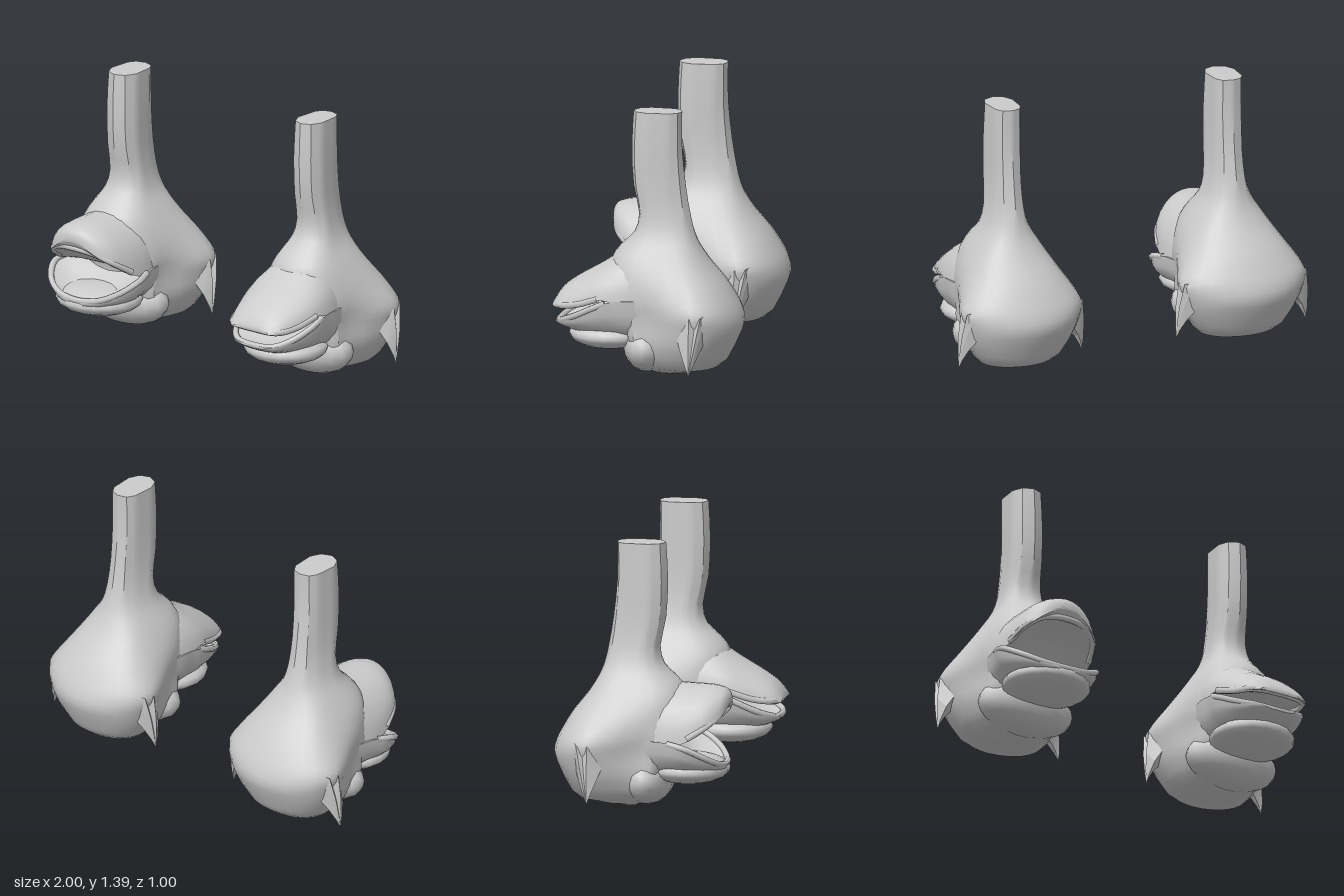
import * as THREE from 'three';
import { toCreasedNormals } from 'three/addons/utils/BufferGeometryUtils.js';

const grey = new THREE.MeshStandardMaterial({ color: 0xcccccc, side: THREE.DoubleSide });

function part(name, geometry, parent) {
  const mesh = new THREE.Mesh(geometry, grey);
  mesh.name = name;
  parent.add(mesh);
  return mesh;
}

// Skin a list of closed rings (same point count) and cap both ends.
function loft(rings, crease = 0.6) {
  const n = rings[0].length, pos = [], idx = [];
  rings.forEach(r => r.forEach(p => pos.push(p.x, p.y, p.z)));
  for (let i = 0; i < rings.length - 1; i++) {
    for (let j = 0; j < n; j++) {
      const a = i * n + j, b = i * n + (j + 1) % n;
      idx.push(a, b, b + n, a, b + n, a + n);
    }
  }
  [0, rings.length - 1].forEach((k, end) => {
    const c = rings[k].reduce((s, p) => s.add(p), new THREE.Vector3()).divideScalar(n);
    const m = pos.length / 3;
    pos.push(c.x, c.y, c.z);
    for (let j = 0; j < n; j++) {
      const a = k * n + j, b = k * n + (j + 1) % n;
      idx.push(m, end ? a : b, end ? b : a);
    }
  });
  const g = new THREE.BufferGeometry();
  g.setAttribute('position', new THREE.Float32BufferAttribute(pos, 3));
  g.setIndex(idx);
  return toCreasedNormals(g, crease);
}

// Insert smoothly interpolated rows between the given ones.
function refine(rows, steps) {
  const out = [];
  const at = i => rows[Math.max(0, Math.min(rows.length - 1, i))];
  for (let i = 0; i < rows.length - 1; i++) {
    for (let s = 0; s < steps; s++) {
      const t = s / steps;
      out.push(at(i).map((b, k) => {
        const a = at(i - 1)[k], c = at(i + 1)[k], d = at(i + 2)[k];
        return b + 0.5 * t * (c - a + t * (2 * a - 5 * b + 4 * c - d + t * (3 * (b - c) + d - a)));
      }));
    }
  }
  out.push(rows[rows.length - 1]);
  return out;
}

// Skull and neck: y, back z, shoulder z, shoulder half-width, waist half-width, front z
const bodyRows = [
  [0.005, -0.16, -0.13, 0.06, 0.06, -0.05],
  [0.05, -0.37, -0.23, 0.21, 0.18, 0.03],
  [0.12, -0.43, -0.26, 0.27, 0.23, 0.08],
  [0.2, -0.47, -0.27, 0.315, 0.25, 0.12],
  [0.28, -0.5, -0.28, 0.34, 0.25, 0.13],
  [0.35, -0.485, -0.28, 0.357, 0.255, 0.14],
  [0.41, -0.455, -0.27, 0.333, 0.26, 0.16],
  [0.5, -0.4, -0.24, 0.27, 0.245, 0.2],
  [0.6, -0.32, -0.19, 0.205, 0.205, 0.21],
  [0.68, -0.27, -0.16, 0.155, 0.16, 0.155],
  [0.75, -0.24, -0.14, 0.115, 0.125, 0.085],
  [0.85, -0.215, -0.12, 0.09, 0.102, 0.06],
  [1.0, -0.19, -0.11, 0.078, 0.092, 0.09],
  [1.2, -0.17, -0.11, 0.078, 0.09, 0.1],
  [1.4, -0.17, -0.115, 0.075, 0.083, 0.09],
];

// The skull is rounded with full cheeks; the neck is nearly polygonal.
function bodyRing([y, zb, zs, wb, ww, zf]) {
  const neck = THREE.MathUtils.smoothstep(y, 0.6, 0.95);
  const zm = zs + (zf - zs) * 0.6;
  const cheek = ww * THREE.MathUtils.lerp(0.86, 0.68, THREE.MathUtils.smoothstep(y, 0.36, 0.56));
  const half = [[cheek, zf - (zf - zm) * 0.3], [ww, zm], [wb, zs], [wb * 0.68, zb + (zs - zb) * 0.28]];
  const pts = [[0, zf], ...half, [0, zb], ...half.slice().reverse().map(([x, z]) => [-x, z])];
  const curve = new THREE.CatmullRomCurve3(
    pts.map(([x, z]) => new THREE.Vector3(x, y, z)), true, 'catmullrom', 0.5 - 0.45 * neck);
  return curve.getPoints(30).slice(0, 30);
}

// Jaw slice: z, half-width, top y, bottom y, hollow depth.
// The upper jaw is a dome with an arched palate, the lower jaw a dished bowl.
function jawRing([z, w, top, bottom, hollow], upper) {
  const pts = [];
  for (let j = 0; j < 28; j++) {
    const a = (j / 28) * Math.PI * 2, x = Math.cos(a), s = Math.sin(a);
    const dish = hollow * (1 - x * x);
    let y;
    if (upper) y = s >= 0 ? bottom + (top - bottom) * s : bottom + dish;
    else y = s <= 0 ? top - (top - bottom) * (-s) ** 0.8 : top - dish;
    pts.push(new THREE.Vector3(x * w, y, z));
  }
  return pts;
}

const openMouth = {
  upper: [[-0.05, 0.22, 0.68, 0.36, 0], [0.08, 0.25, 0.67, 0.35, 0], [0.16, 0.257, 0.66, 0.355, 0.02],
    [0.25, 0.25, 0.655, 0.385, 0.07], [0.34, 0.22, 0.65, 0.44, 0.05], [0.4, 0.16, 0.637, 0.49, 0.02],
    [0.425, 0.1, 0.62, 0.53, 0.01], [0.437, 0.04, 0.6, 0.56, 0]],
  lower: [[-0.05, 0.235, 0.38, 0.15, 0], [0.08, 0.262, 0.38, 0.16, 0.02], [0.14, 0.278, 0.375, 0.17, 0.05],
    [0.22, 0.295, 0.355, 0.175, 0.1], [0.32, 0.245, 0.305, 0.185, 0.08], [0.39, 0.16, 0.265, 0.195, 0.04],
    [0.42, 0.07, 0.24, 0.21, 0]],
  upperLip: [[0.245, 0.395, 0.24], [0.205, 0.46, 0.34], [0.13, 0.505, 0.39], [0, 0.52, 0.41]],
  lowerLip: [[0.265, 0.37, 0.14], [0.285, 0.35, 0.23], [0.23, 0.295, 0.33], [0.13, 0.25, 0.39], [0, 0.235, 0.41]],
};
const closedMouth = {
  upper: [[-0.05, 0.22, 0.69, 0.4, 0], [0.08, 0.25, 0.67, 0.4, 0], [0.16, 0.257, 0.64, 0.41, 0],
    [0.25, 0.25, 0.58, 0.42, 0.02], [0.38, 0.215, 0.505, 0.375, 0.02], [0.46, 0.18, 0.445, 0.36, 0.01],
    [0.5, 0.13, 0.385, 0.36, 0]],
  lower: [[-0.05, 0.235, 0.42, 0.15, 0], [0.08, 0.258, 0.42, 0.16, 0], [0.16, 0.26, 0.415, 0.17, 0.03],
    [0.25, 0.262, 0.39, 0.185, 0.06], [0.38, 0.215, 0.325, 0.215, 0.05], [0.46, 0.16, 0.29, 0.245, 0.02],
    [0.49, 0.1, 0.28, 0.265, 0]],
  upperLip: [[0.245, 0.425, 0.24], [0.212, 0.385, 0.36], [0.16, 0.37, 0.46], [0, 0.37, 0.485]],
  lowerLip: [[0.25, 0.405, 0.2], [0.25, 0.375, 0.27], [0.205, 0.32, 0.38], [0.13, 0.285, 0.46], [0, 0.275, 0.475]],
};

function lipTube(points, radius) {
  const left = points.map(p => new THREE.Vector3(...p));
  const right = left.slice(0, -1).reverse().map(p => new THREE.Vector3(-p.x, p.y, p.z));
  return new THREE.TubeGeometry(new THREE.CatmullRomCurve3([...left, ...right]), 32, radius, 6);
}

function lump(name, position, radii, parent) {
  const mesh = part(name, new THREE.SphereGeometry(1, 18, 12), parent);
  mesh.position.set(...position);
  mesh.scale.set(...radii);
}

// Pleated, downward-pointing spike behind the cheek
function spikeGeometry(side) {
  const base = [[0.3, 0.38, -0.36], [0.35, 0.365, -0.33], [0.335, 0.33, -0.3], [0.358, 0.36, -0.27],
    [0.3, 0.26, -0.19], [0.27, 0.2, -0.26], [0.27, 0.24, -0.35]];
  const tip = new THREE.Vector3(0.372, 0.055, -0.27);
  const rings = [0, 0.4, 0.75, 0.99].map(t => base.map(p => {
    const v = new THREE.Vector3(...p).lerp(tip, t);
    v.x = (v.x + 0.02 * Math.sin(Math.PI * t) * (p[0] > 0.32 ? 0.6 : 1)) * side;
    return v;
  }));
  if (side < 0) rings.forEach(r => r.reverse());
  return loft(rings, 0.2);
}

function makeHead(name, mouth) {
  const head = new THREE.Group();
  head.name = name;
  part('skullAndNeck', loft(refine(bodyRows, 2).map(bodyRing)), head);
  part('upperJaw', loft(refine(mouth.upper, 3).map(r => jawRing(r, true))), head);
  part('lowerJaw', loft(refine(mouth.lower, 3).map(r => jawRing(r, false))), head);
  part('upperLip', lipTube(mouth.upperLip, 0.018), head);
  part('lowerLip', lipTube(mouth.lowerLip, 0.017), head);
  lump('chin', [0, 0.205, 0.21], [0.24, 0.08, 0.22], head);
  lump('throat', [0, 0.155, 0], [0.28, 0.145, 0.135], head);
  for (const side of [1, -1]) part(side > 0 ? 'leftSpike' : 'rightSpike', spikeGeometry(side), head);
  return head;
}

export function createModel() {
  const model = new THREE.Group();
  model.name = 'pairOfHeads';
  const open = makeHead('openMouthedHead', openMouth);
  open.position.x = -0.622;
  const closed = makeHead('closedMouthedHead', closedMouth);
  closed.position.x = 0.647;
  closed.scale.x = 0.95;
  model.add(open, closed);
  return model;
}
